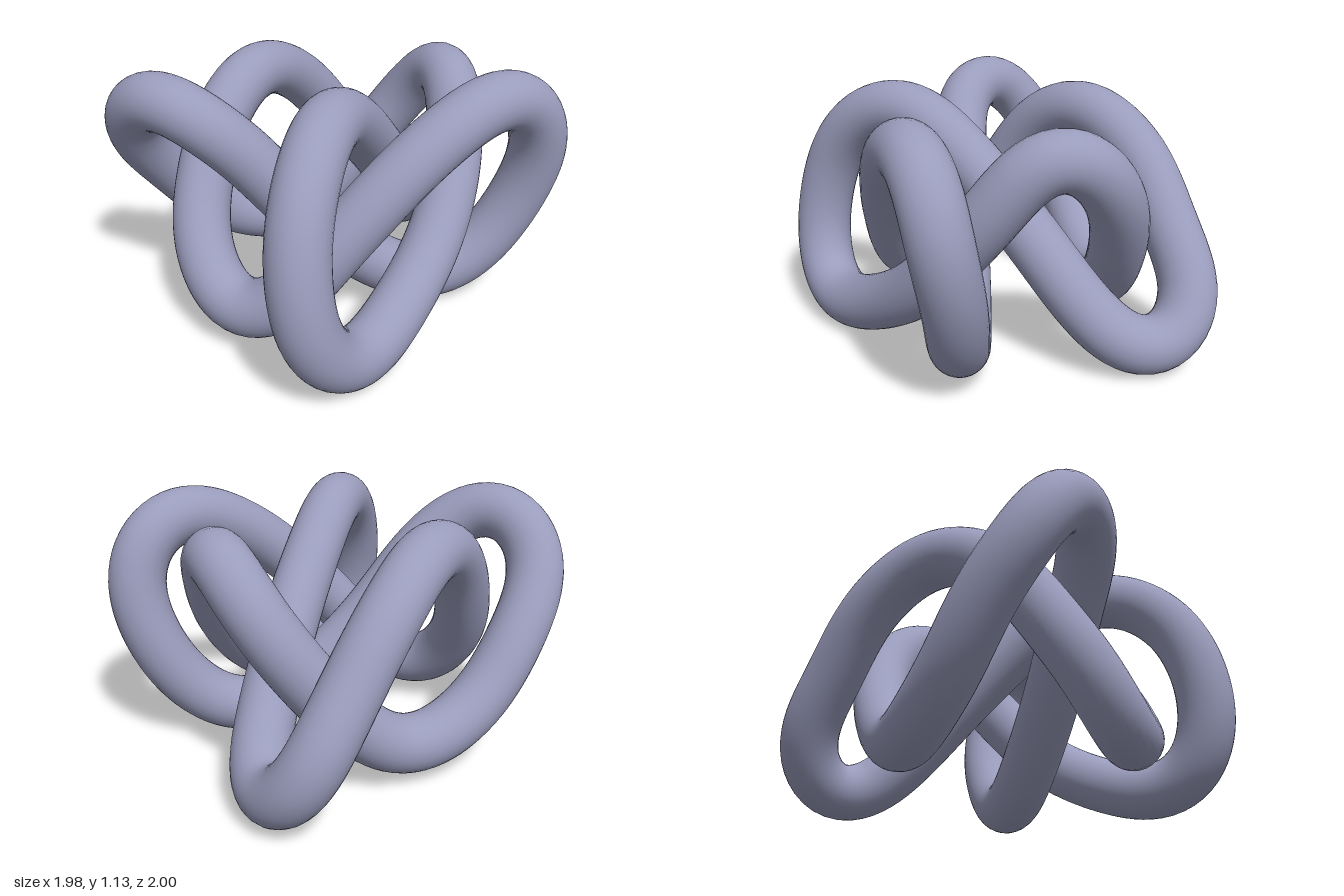
import * as THREE from 'three';

// Centre line of the knot, as [x, y, z] points in travel order
const PATH = [
  // back loop, over the left side and round the front
  [0, 0.31, -0.875], [-0.12, 0.54, -0.76], [-0.27, 0.82, -0.57], [-0.41, 0.965, -0.28],
  [-0.51, 0.85, -0.02], [-0.555, 0.6, 0.17], [-0.52, 0.36, 0.34], [-0.34, 0.175, 0.485],
  [-0.14, 0.25, 0.525], [0.09, 0.51, 0.47], [0.35, 0.8, 0.335], [0.54, 0.95, 0.2],
  // right loop and the strand across the middle
  [0.7, 1.005, 0.06], [0.815, 0.925, -0.055], [0.865, 0.75, -0.12], [0.79, 0.475, -0.14],
  [0.63, 0.235, -0.085], [0.42, 0.125, -0.01], [0.2, 0.21, 0.075], [-0.09, 0.475, 0.2],
  [-0.345, 0.8, 0.305], [-0.52, 0.95, 0.35],
  // left loop and the arc round the back
  [-0.7, 1.005, 0.3], [-0.825, 0.915, 0.21], [-0.865, 0.77, 0.115], [-0.78, 0.53, -0.06],
  [-0.64, 0.31, -0.195], [-0.47, 0.195, -0.325], [-0.32, 0.17, -0.405], [-0.1, 0.34, -0.52],
  [0.18, 0.7, -0.595], [0.34, 0.9, -0.53], [0.44, 0.965, -0.4],
  // right arc, front loop and the strand to the back
  [0.505, 0.68, -0.13], [0.46, 0.41, 0.11], [0.36, 0.23, 0.35], [0.2, 0.125, 0.68],
  [0.1, 0.21, 0.815], [0.03, 0.41, 0.87], [0, 0.7, 0.815], [0.015, 0.91, 0.67],
  [0.05, 1.005, 0.41], [0.11, 0.87, 0.13], [0.19, 0.58, -0.2], [0.24, 0.25, -0.53],
  [0.205, 0.125, -0.73], [0.11, 0.16, -0.835],
];

// Evens out the curvature of a closed line without shrinking it
function fair(points, rounds) {
  for (let i = 0; i < rounds * 2; i++) {
    const weight = i % 2 ? -0.52 : 0.5;
    const n = points.length;
    points = points.map((p, k) => {
      const middle = points[(k + 1) % n].clone().add(points[(k + n - 1) % n]).multiplyScalar(0.5);
      return p.clone().lerp(middle, weight);
    });
  }
  return points;
}

export function createModel() {
  const model = new THREE.Group();
  model.name = 'knot';

  const lavenderGrey = new THREE.MeshStandardMaterial({ color: 0x9a9cbc });
  lavenderGrey.name = 'lavenderGrey';

  const rough = new THREE.CatmullRomCurve3(PATH.map((p) => new THREE.Vector3(...p)), true);
  const points = fair(rough.getSpacedPoints(160).slice(0, -1), 12);
  const line = new THREE.CatmullRomCurve3(points, true);
  line.arcLengthDivisions = 1000;

  // One closed round tube
  const tube = new THREE.Mesh(new THREE.TubeGeometry(line, 400, 0.125, 32, true), lavenderGrey);
  tube.name = 'knottedTube';
  model.add(tube);
  return model;
}
